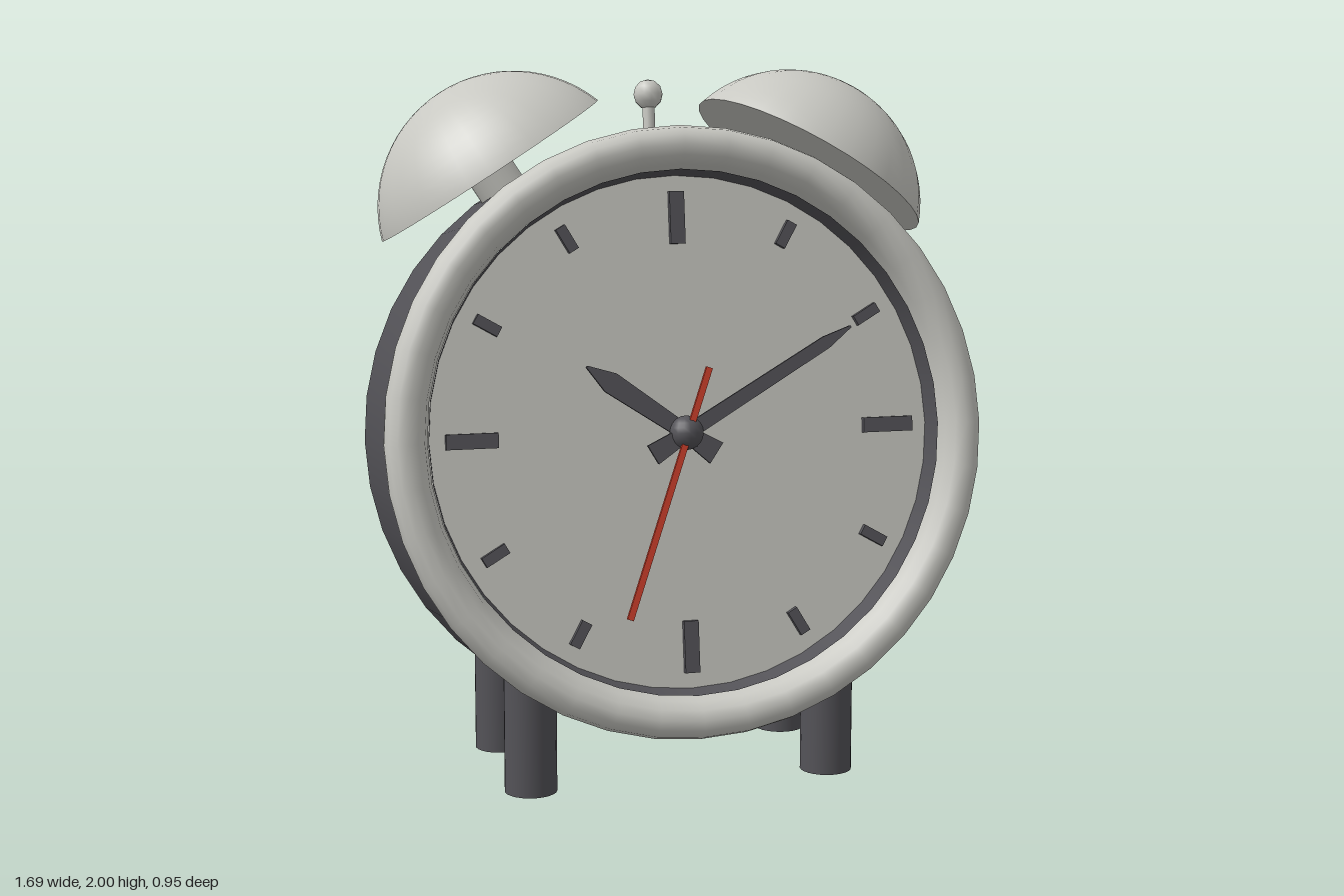
import * as THREE from 'three';

const material = (name, color, side = THREE.FrontSide) => {
  const m = new THREE.MeshStandardMaterial({ color, side });
  m.name = name;
  return m;
};

export function createModel() {
  const dark = material('charcoal', 0x545358);
  const light = material('paleMetal', 0xc8c8c2);
  const red = material('red', 0xd0402c);

  const clock = new THREE.Group();
  clock.name = 'alarmClock';

  // Everything but the legs leans back; local z = 0 is the front of the rim
  const head = new THREE.Group();
  head.name = 'head';
  head.position.set(0, 1.025, 0.365);
  head.rotation.x = -0.138;
  clock.add(head);

  const add = (parent, name, geometry, mat, x = 0, y = 0, z = 0) => {
    const mesh = new THREE.Mesh(geometry, mat);
    mesh.name = name;
    mesh.position.set(x, y, z);
    parent.add(mesh);
    return mesh;
  };

  // Profile of [radius, z] pairs turned about the z axis
  const turned = (points) =>
    new THREE.LatheGeometry(points.map(([r, z]) => new THREE.Vector2(r, z)), 40).rotateX(Math.PI / 2);

  // Case: smooth side with a tapered rear, flat back, recessed inner wall
  add(head, 'caseSide', turned([[0.75, -0.67], [0.83, -0.57], [0.83, -0.06]]), dark);
  add(head, 'caseBack', turned([[0, -0.67], [0.75, -0.67]]), dark);
  add(head, 'innerWall', turned([[0.727, -0.06], [0.712, -0.14]]), dark);

  // Rounded rim and dial
  add(head, 'rim', turned([
    [0.842, -0.1], [0.847, -0.06], [0.838, -0.025], [0.818, -0.006], [0.79, 0],
    [0.762, -0.01], [0.74, -0.035], [0.725, -0.085],
  ]), light);
  add(head, 'rimBack', turned([[0.725, -0.1], [0.842, -0.1]]), light);
  add(head, 'dial', new THREE.CircleGeometry(0.72, 40), light, 0, 0, -0.13);

  // Hour marks, longer at the quarters
  for (let i = 0; i < 12; i++) {
    const angle = (i * Math.PI) / 6;
    const quarter = i % 3 === 0;
    const radius = quarter ? 0.597 : 0.628;
    const geometry = new THREE.BoxGeometry(quarter ? 0.042 : 0.03, quarter ? 0.145 : 0.075, 0.02);
    const mark = add(head, 'hourMark', geometry, dark, Math.sin(angle) * radius, Math.cos(angle) * radius, -0.122);
    mark.rotation.z = -angle;
  }

  // Hands: half outline of [half width, distance], mirrored and extruded
  const hand = (name, half, degrees, z, mat) => {
    const mirrored = half.map(([w, d]) => [-w, d]).reverse();
    const shape = new THREE.Shape([...half, ...mirrored].map(([w, d]) => new THREE.Vector2(w, d)));
    const geometry = new THREE.ExtrudeGeometry(shape, { depth: 0.012, bevelEnabled: false });
    add(head, name, geometry, mat, 0, 0, z).rotation.z = -THREE.MathUtils.degToRad(degrees);
  };
  hand('hourHand', [[0.034, -0.105], [0.022, 0], [0.03, 0.255], [0.003, 0.335]], 305, -0.11, dark);
  hand('minuteHand', [[0.03, -0.115], [0.021, 0], [0.018, 0.475], [0.003, 0.56]], 60, -0.093, dark);
  hand('secondHand', [[0.009, -0.19], [0.009, 0.54]], 200, -0.076, red);
  add(head, 'handHub', new THREE.SphereGeometry(0.048, 16, 10), dark, 0, 0, -0.095);

  // Bells: domed caps on short posts
  const domeRadius = 0.386;
  const domeDrop = 0.126;
  const rimRadius = Math.sqrt(domeRadius ** 2 - domeDrop ** 2);
  const tilt = THREE.MathUtils.degToRad(32);
  for (const side of [-1, 1]) {
    const bell = new THREE.Group();
    bell.name = side > 0 ? 'leftBell' : 'rightBell';
    bell.position.set(side * Math.sin(tilt) * 0.89, Math.cos(tilt) * 0.89, -0.384);
    bell.rotation.z = -side * tilt;
    head.add(bell);
    const dome = new THREE.SphereGeometry(domeRadius, 32, 14, 0, Math.PI * 2, 0, Math.acos(domeDrop / domeRadius));
    add(bell, 'bellDome', dome, light, 0, -domeDrop, 0);
    add(bell, 'bellUnderside', new THREE.CircleGeometry(rimRadius, 32).rotateX(Math.PI / 2), light);
    add(bell, 'bellPost', new THREE.CylinderGeometry(0.07, 0.07, 0.12, 20), light, 0, -0.055, 0);
  }

  // Striker between the bells
  add(head, 'strikerStem', new THREE.CylinderGeometry(0.018, 0.018, 0.14, 12), light, 0, 0.88, -0.395);
  add(head, 'strikerBall', new THREE.SphereGeometry(0.043, 12, 6), light, 0, 0.968, -0.395);

  // Four upright legs
  for (const x of [-0.435, 0.435]) {
    for (const [name, z] of [['frontLeg', 0.21], ['rearLeg', -0.243]]) {
      add(clock, name, new THREE.CylinderGeometry(0.074, 0.074, 0.4, 24), dark, x, 0.2, z);
    }
  }

  return clock;
}
